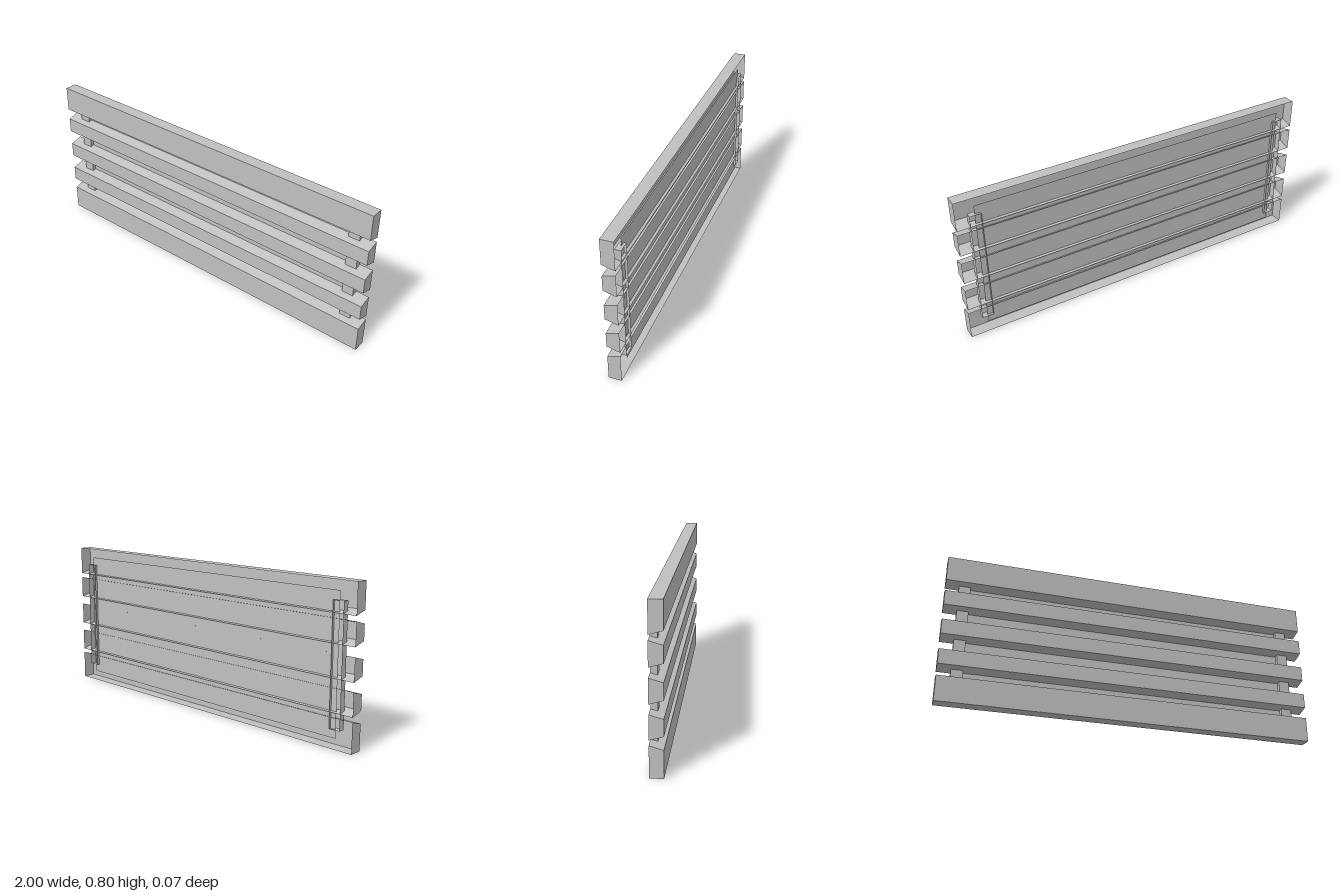
import * as THREE from 'three';

// Hollow box open at the back; the top and bottom walls may slope from back to front.
function openBackBox(x0, x1, back, front, zBack, zFront) {
  const ring = ([y0, y1], z) => [[x0, y0, z], [x1, y0, z], [x1, y1, z], [x0, y1, z]];
  const b = ring(back, zBack);
  const f = ring(front, zFront);
  const positions = [];
  const quad = (p, q, r, s) => positions.push(...p, ...q, ...r, ...p, ...r, ...s);
  quad(...f);
  for (let i = 0; i < 4; i++) {
    const j = (i + 1) % 4;
    quad(b[i], b[j], f[j], f[i]);
  }
  const geometry = new THREE.BufferGeometry();
  geometry.setAttribute('position', new THREE.Float32BufferAttribute(positions, 3));
  geometry.computeVertexNormals();
  return geometry;
}

export function createModel() {
  const model = new THREE.Group();
  model.name = 'slattedPanel';
  const grey = new THREE.MeshStandardMaterial({ color: 0xc0c0c0, side: THREE.DoubleSide });
  grey.name = 'lightGrey';
  const add = (name, geometry) => {
    const mesh = new THREE.Mesh(geometry, grey);
    mesh.name = name;
    model.add(mesh);
    return mesh;
  };

  const depth = 0.033;

  // Five horizontal slats: [back y range, front y range]
  const slats = [
    ['bottomSlat', [0, 0.153], [0, 0.134]],
    ['lowerSlat', [0.177, 0.295], [0.196, 0.276]],
    ['middleSlat', [0.341, 0.459], [0.36, 0.44]],
    ['upperSlat', [0.505, 0.623], [0.524, 0.604]],
    ['topSlat', [0.647, 0.8], [0.666, 0.8]],
  ];
  for (const [name, back, front] of slats) {
    add(name, openBackBox(-1, 1, back, front, -depth, depth));
  }

  // Upright rails joining the slats
  const railY = [0.095, 0.705];
  for (const [name, x] of [['leftRail', 0.9], ['rightRail', -0.9]]) {
    add(name, openBackBox(x - 0.03, x + 0.03, railY, railY, -depth, 0));
  }

  // Thin sheet behind the gaps
  add('backingSheet', new THREE.PlaneGeometry(1.8, 0.7)).position.set(0, 0.4, -0.02);

  return model;
}
